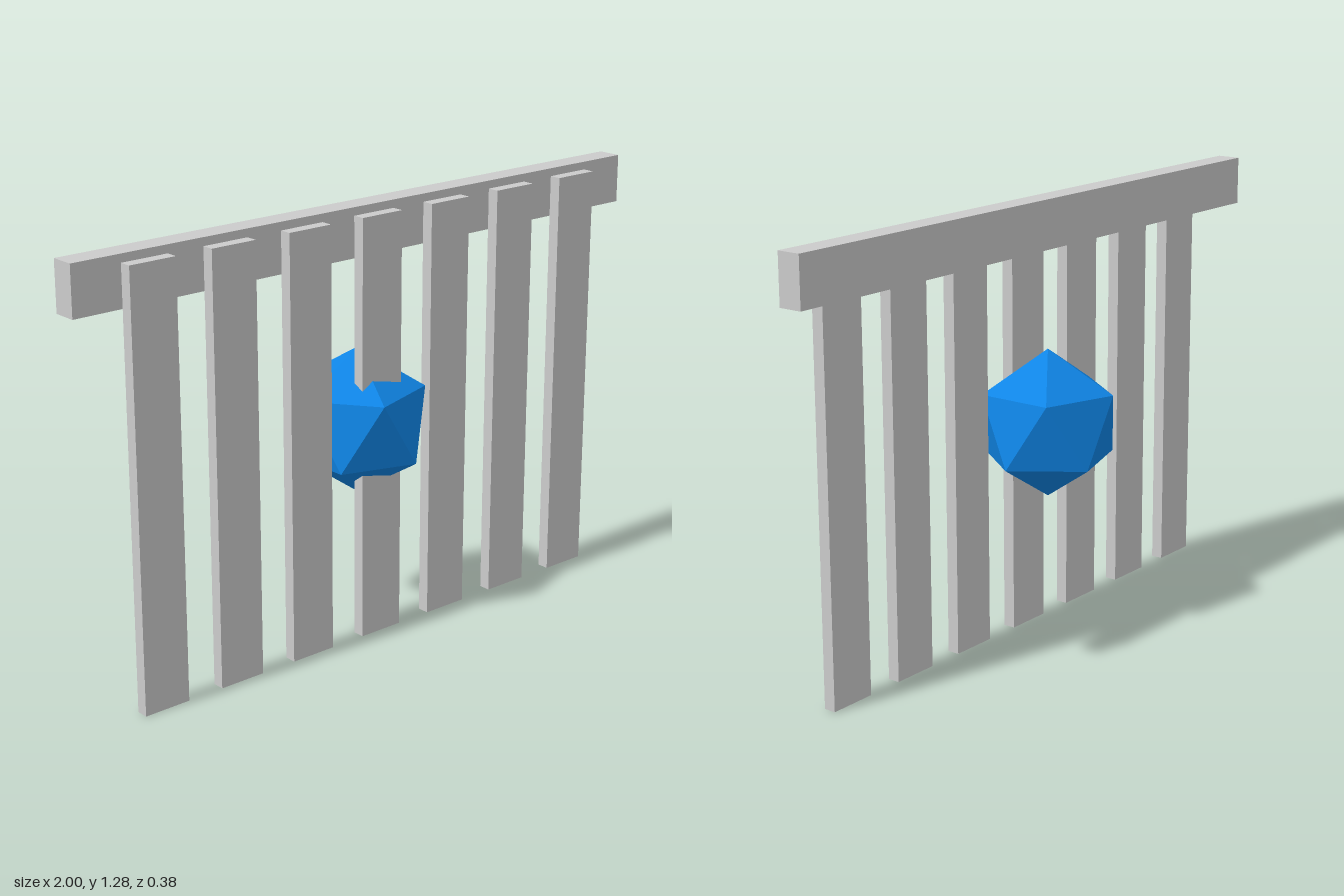
import * as THREE from 'three';

export function createModel() {
  const model = new THREE.Group();
  model.name = 'slattedPanel';
  const grey = new THREE.MeshStandardMaterial({ color: 0xcccccc });
  const blue = new THREE.MeshStandardMaterial({ color: 0x0f85e6, flatShading: true });

  const add = (name, geometry, material, x, y, z) => {
    const mesh = new THREE.Mesh(geometry, material);
    mesh.name = name;
    mesh.position.set(x, y, z);
    model.add(mesh);
  };

  // Horizontal rail across the top
  add('topRail', new THREE.BoxGeometry(2, 0.145, 0.072), grey, 0, 1.2125, 0.036);

  // Seven vertical slats hung on the front of the rail
  const slat = new THREE.BoxGeometry(0.145, 1.261, 0.036);
  for (let i = -3; i <= 3; i++) {
    add(`slat${i + 4}`, slat, grey, i * 0.2587, 0.6305, 0.09);
  }

  // Faceted ball standing on a vertex, pierced by the middle slat
  const ball = new THREE.IcosahedronGeometry(0.2215, 0);
  ball.rotateZ(Math.atan(2 / (1 + Math.sqrt(5))));
  add('facetedBall', ball, blue, 0, 0.631, 0);

  return model;
}
